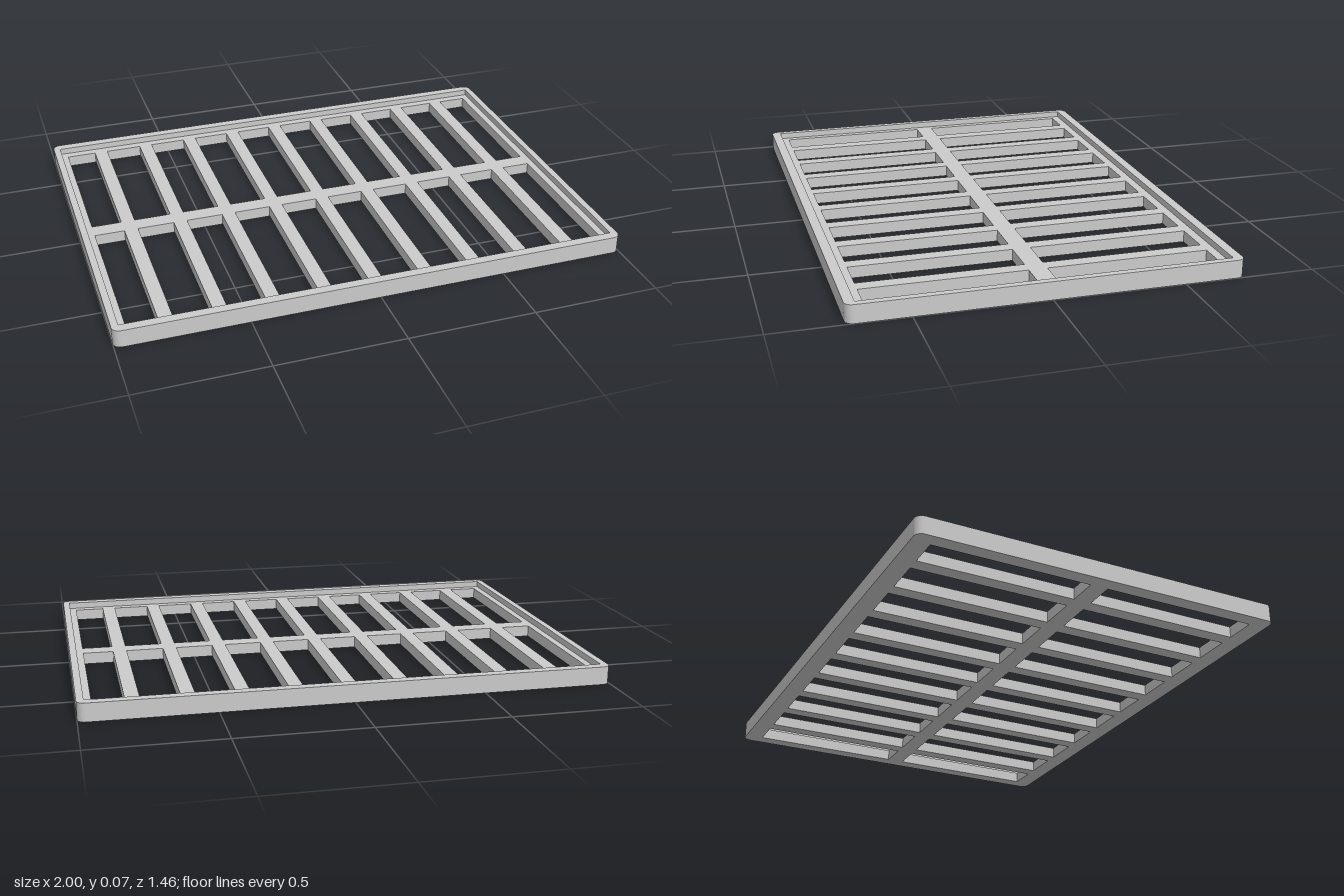
import * as THREE from 'three';

const HALF_X = 1, HALF_Z = 0.73, HEIGHT = 0.07, DECK = 0.045, CORNER = 0.03;

// Rectangle outline with optional rounded corners
function trace(path, x0, y0, x1, y1, r = 0) {
  path.moveTo(x0 + r, y0);
  path.lineTo(x1 - r, y0);
  if (r) path.absarc(x1 - r, y0 + r, r, -Math.PI / 2, 0);
  path.lineTo(x1, y1 - r);
  if (r) path.absarc(x1 - r, y1 - r, r, 0, Math.PI / 2);
  path.lineTo(x0 + r, y1);
  if (r) path.absarc(x0 + r, y1 - r, r, Math.PI / 2, Math.PI);
  path.lineTo(x0, y0 + r);
  if (r) path.absarc(x0 + r, y0 + r, r, Math.PI, Math.PI * 1.5);
  return path;
}

// Flat plate lying in xz, extruded upward from y
function plate(name, shape, y, height, material) {
  const geometry = new THREE.ExtrudeGeometry(shape, { depth: height, bevelEnabled: false, curveSegments: 6 });
  geometry.rotateX(-Math.PI / 2);
  const mesh = new THREE.Mesh(geometry, material);
  mesh.name = name;
  mesh.position.y = y;
  return mesh;
}

export function createModel() {
  const group = new THREE.Group();
  group.name = 'slottedTray';
  const material = new THREE.MeshStandardMaterial({ color: 0xcccccc });

  // Slotted deck: two rows of ten openings, the end ones cut short by the border
  const deck = trace(new THREE.Shape(), -HALF_X, -HALF_Z, HALF_X, HALF_Z, CORNER);
  for (let i = 0; i < 10; i++) {
    const cx = -0.9 + i * 0.2;
    const x0 = Math.max(cx - 0.073, -0.945), x1 = Math.min(cx + 0.073, 0.945);
    deck.holes.push(trace(new THREE.Path(), x0, 0.035, x1, 0.657));
    deck.holes.push(trace(new THREE.Path(), x0, -0.657, x1, -0.035));
  }
  group.add(plate('slottedDeck', deck, 0, DECK, material));

  // Raised rim around the deck
  const rim = trace(new THREE.Shape(), -HALF_X, -HALF_Z, HALF_X, HALF_Z, CORNER);
  rim.holes.push(trace(new THREE.Path(), -0.973, -0.692, 0.973, 0.692));
  group.add(plate('raisedRim', rim, DECK, HEIGHT - DECK, material));

  return group;
}
